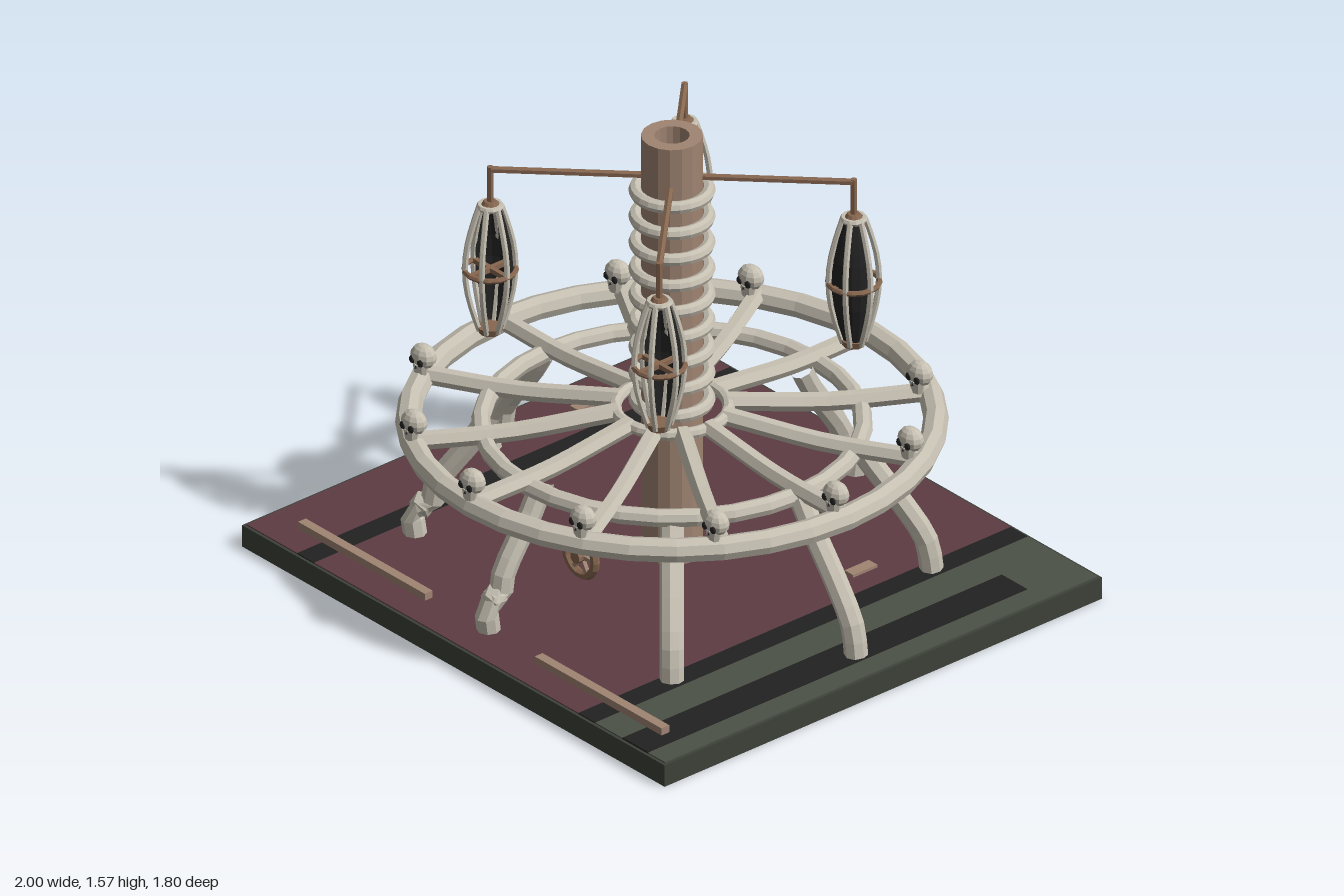
import * as THREE from 'three';

const material = (name, color, extra = {}) => Object.assign(new THREE.MeshStandardMaterial({ color, ...extra }), { name });
const bone = material('bone', 0xc6c0b2);
const wood = material('wood', 0xa08472);
const bronze = material('bronze', 0x86664f);
const maroon = material('maroon floor', 0x5c3b42);
const slate = material('slate', 0x4c5147);
const darkSlate = material('dark slate', 0x3c4139);
const black = material('black', 0x222222, { side: THREE.DoubleSide });

const V = (x, y, z) => new THREE.Vector3(x, y, z);

// Faceted mesh added to a parent
function add(parent, name, geometry, mat, x = 0, y = 0, z = 0) {
  const flat = geometry.index ? geometry.toNonIndexed() : geometry;
  flat.computeVertexNormals();
  const mesh = new THREE.Mesh(flat, mat);
  mesh.name = name;
  mesh.position.set(x, y, z);
  parent.add(mesh);
  return mesh;
}

const ring = (r, tube, sides, segments) => new THREE.TorusGeometry(r, tube, sides, segments).rotateX(Math.PI / 2);
const tube = (points, r, segments, sides) =>
  new THREE.TubeGeometry(new THREE.CatmullRomCurve3(points), segments, r, sides);

function group(parent, name) {
  const g = new THREE.Group();
  g.name = name;
  parent.add(g);
  return g;
}

// Square floor slab with painted bands
function buildBase(model) {
  const base = group(model, 'base');
  add(base, 'slab', new THREE.BoxGeometry(2, 0.076, 1.8), darkSlate, 0, 0.04, 0);
  const plate = (name, x0, x1, z0, z1, mat, y = 0.079) =>
    add(base, name, new THREE.BoxGeometry(x1 - x0, 0.006, z1 - z0), mat, (x0 + x1) / 2, y, (z0 + z1) / 2);
  plate('leftFloor', -0.99, -0.75, -0.89, 0.89, maroon);
  plate('narrowBand', -0.75, -0.67, -0.89, 0.89, black);
  plate('mainFloor', -0.67, 0.58, -0.89, 0.89, maroon);
  plate('wideBand', 0.58, 0.66, -0.89, 0.89, black);
  plate('slateFloor', 0.66, 0.99, -0.89, 0.89, slate);
  plate('shortBand', 0.79, 0.91, -0.67, 0.89, black, 0.081);
  plate('underBandLeft', -0.75, -0.67, -0.89, 0.89, black, 0.003);
  plate('underBandRight', 0.79, 0.91, -0.67, 0.89, black, 0.003);
  // Loose wooden strips
  for (const s of [-1, 1]) {
    add(base, 'frontStrip', new THREE.BoxGeometry(0.6, 0.025, 0.032), wood, s * 0.56, 0.097, 0.775);
    add(base, 'scrap', new THREE.BoxGeometry(0.04, 0.012, 0.1), wood, s * 0.48, 0.086, -0.36);
  }
  add(base, 'scrap', new THREE.BoxGeometry(0.04, 0.012, 0.11), wood, -0.86, 0.086, -0.4);
}

// Hollow column with stacked rings
function buildColumn(model) {
  const column = group(model, 'column');
  const profile = [[0.097, 0.08], [0.097, 1.565], [0.055, 1.565], [0.055, 1.36], [0, 1.36]]
    .map(([x, y]) => new THREE.Vector2(x, y));
  add(column, 'shaft', new THREE.LatheGeometry(profile, 16), wood);
  for (let i = 0; i < 9; i++)
    add(column, 'columnRing', ring(0.115, 0.021, 8, 24), bone, 0, 0.625 + i * 0.0932, 0);
}

// Skull: cranium, jaw, sockets and nose
function buildSkull(parent, x, z) {
  const skull = group(parent, 'skull');
  skull.position.set(x, 0.63, z);
  add(skull, 'cranium', new THREE.SphereGeometry(0.048, 10, 8).scale(1, 0.85, 0.75), bone, 0, 0.006, 0);
  add(skull, 'jaw', new THREE.CylinderGeometry(0.03, 0.023, 0.04, 8).scale(1, 1, 0.7), bone, 0, -0.036, 0.012);
  for (const s of [-1, 1])
    add(skull, 'socket', new THREE.SphereGeometry(0.013, 8, 6).scale(1, 1, 0.5), black, s * 0.019, -0.003, 0.031);
  add(skull, 'nose', new THREE.ConeGeometry(0.007, 0.014, 3), black, 0, -0.02, 0.031);
}

// Wheel platform: rims, spokes and skulls
function buildWheel(model) {
  const wheel = group(model, 'wheel');
  add(wheel, 'outerRim', ring(0.82, 0.04, 8, 36), bone, 0, 0.548, 0);
  add(wheel, 'innerRim', ring(0.595, 0.03, 8, 32), bone, 0, 0.535, 0);
  add(wheel, 'hubRim', ring(0.177, 0.02, 8, 24), bone, 0, 0.595, 0);
  for (let i = 0; i < 12; i++) {
    const a = i * Math.PI / 6;
    const path = [V(0.17, 0.595, 0), V(0.26, 0.585, 0), V(0.5, 0.56, 0), V(0.81, 0.56, 0)];
    add(wheel, 'spoke', tube(path, 0.03, 8, 6), bone).rotation.y = a;
    buildSkull(wheel, 0.8 * Math.cos(a), 0.8 * Math.sin(a) + 0.02);
  }
}

// Splayed legs, most with a knobbly ankle
function buildLegs(model) {
  const legs = group(model, 'legs');
  const feet = [[0.88, 0], [0.62, 0.54], [0, 0.77], [-0.62, 0.54], [-0.88, 0], [-0.62, -0.54], [0, -0.77], [0.62, -0.54]];
  for (const [x, z] of feet) {
    const smooth = x > 0.3;
    const stops = smooth
      ? [[0.69, 0.53], [0.76, 0.44], [0.9, 0.28], [0.97, 0.18], [0.99, 0.08]]
      : [[0.69, 0.53], [0.75, 0.44], [0.9, 0.26], [0.92, 0.19], [0.985, 0.17], [0.98, 0.08]];
    add(legs, 'leg', tube(stops.map(([s, y]) => V(x * s, y, z * s)), 0.038, 10, 8), bone);
    if (!smooth) add(legs, 'ankle', new THREE.IcosahedronGeometry(0.044, 0), bone, x * 0.95, 0.185, z * 0.95);
  }
}

// Hanging cages on diagonal arms
function buildCage(model, sx, sz) {
  const hanger = group(model, 'hangingCage');
  const x = 0.4 * sx, z = 0.4 * sz;
  add(hanger, 'arm', tube([V(0, 1.42, 0), V(x, 1.42, z)], 0.012, 1, 6), bronze);
  add(hanger, 'hangRod', new THREE.CylinderGeometry(0.011, 0.011, 0.14, 6), bronze, x, 1.36, z);
  const cage = group(hanger, 'cage');
  cage.position.set(x, 0, z);
  const spindle = (t, scale) => [(0.035 + 0.045 * Math.sin(Math.PI * t)) * scale, 0.85 + 0.44 * t];
  const steps = [0, 0.15, 0.32, 0.5, 0.68, 0.85, 1];
  for (let i = 0; i < 6; i++) {
    const path = steps.map(t => { const [r, y] = spindle(t, 1); return V(r, y, 0); });
    add(cage, 'rib', tube(path, 0.01, 10, 6), bone).rotation.y = i * Math.PI / 3;
  }
  // Dark lining on the half nearest the column
  const lining = steps.map(t => new THREE.Vector2(...spindle(t, 0.9)));
  add(cage, 'lining', new THREE.LatheGeometry(lining, 8, sz < 0 ? -Math.PI / 2 : Math.PI / 2, Math.PI), black);
  add(cage, 'waistBand', ring(0.081, 0.009, 6, 16), bronze, 0, 1.065, 0);
  add(cage, 'crossBar', new THREE.BoxGeometry(0.16, 0.016, 0.016), bronze, 0, 1.065, 0);
  add(cage, 'crossBar', new THREE.BoxGeometry(0.016, 0.016, 0.16), bronze, 0, 1.065, 0);
  add(cage, 'topBand', ring(0.034, 0.01, 6, 12), bone, 0, 1.29, 0);
  add(cage, 'topCap', new THREE.CylinderGeometry(0.02, 0.034, 0.02, 10), bronze, 0, 1.298, 0);
  add(cage, 'bottomCap', new THREE.CylinderGeometry(0.044, 0.036, 0.024, 10), bronze, 0, 0.852, 0);
}

// Small upright handwheel in front of the column
function buildHandwheel(model) {
  const wheel = group(model, 'handwheel');
  wheel.position.set(0, 0.205, 0.375);
  add(wheel, 'handwheelRim', new THREE.TorusGeometry(0.068, 0.015, 6, 18), bronze);
  add(wheel, 'handwheelHub', new THREE.CylinderGeometry(0.022, 0.022, 0.05, 10).rotateX(Math.PI / 2), bronze);
  for (let i = 0; i < 3; i++)
    add(wheel, 'handwheelSpoke', new THREE.BoxGeometry(0.13, 0.014, 0.014), wood).rotation.z = i * Math.PI / 3;
}

export function createModel() {
  const model = new THREE.Group();
  model.name = 'boneWheelTower';
  buildBase(model);
  buildColumn(model);
  buildWheel(model);
  buildLegs(model);
  for (const sx of [-1, 1]) for (const sz of [-1, 1]) buildCage(model, sx, sz);
  buildHandwheel(model);
  return model;
}
